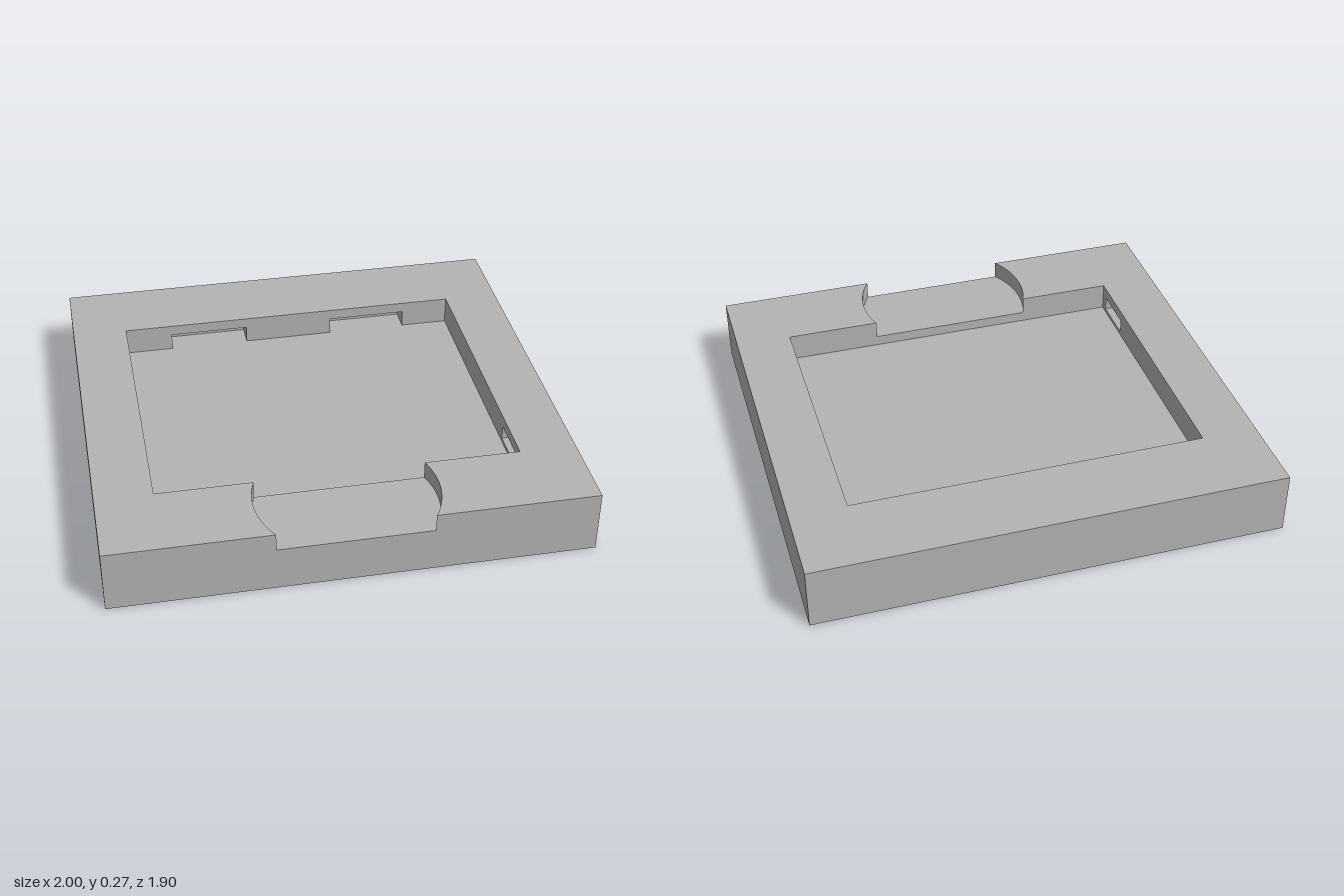
import * as THREE from 'three';

const W = 1, D = 0.95, TOP = 0.272;              // half width, half depth, height
const PX = 0.76, PZ = 0.61, FLOOR = 0.15;        // pocket half sizes and floor level
const R = 0.38, RZ = 0.745, NOTCH = 0.195;       // round thumb notch
const SLOT_TOP = 0.225, SIDE_FLOOR = 0.165;      // wall slots
const BACK = { a: 0.2, b: 0.55, depth: 0.1 };
const SIDE = { a: 0.37, b: 0.57, depth: 0.045 };

const notchX = (z) => Math.sqrt(R * R - (z - RZ) ** 2);
const rect = (u0, v0, u1, v1) => [[u0, v0], [u1, v0], [u1, v1], [u0, v1]];

// One side of the notch outline, from the outer edge to the pocket
function notchArc(side, steps = 24) {
  return Array.from({ length: steps + 1 }, (_, i) => {
    const z = D + (PZ - D) * i / steps;
    return [side * notchX(z), z];
  });
}

// Flat face across an axis; points are (z,y), (x,z) or (x,y) for x, y, z
function face(axis, at, dir, points, holes = []) {
  const toV = (list) => list.map(([u, v]) => new THREE.Vector2(u, v));
  const shape = new THREE.Shape(toV(points));
  holes.forEach((h) => shape.holes.push(new THREE.Path(toV(h))));
  const geo = new THREE.ShapeGeometry(shape);
  const p = geo.attributes.position;
  for (let i = 0; i < p.count; i++) {
    const u = p.getX(i), v = p.getY(i);
    if (axis === 'x') p.setXYZ(i, at, v, u);
    else if (axis === 'y') p.setXYZ(i, u, at, v);
    else p.setXYZ(i, u, v, at);
  }
  if (dir !== (axis === 'z' ? 1 : -1)) geo.index.array.reverse();
  geo.computeVertexNormals();
  return geo;
}

// Curved wall of the notch
function notchWall(side) {
  const geo = new THREE.PlaneGeometry(1, 1, 24, 1);
  const p = geo.attributes.position;
  for (let i = 0; i < p.count; i++) {
    const t = p.getX(i) + 0.5;
    const z = side < 0 ? D + (PZ - D) * t : PZ + (D - PZ) * t;
    p.setXYZ(i, side * notchX(z), p.getY(i) > 0 ? TOP : NOTCH, z);
  }
  geo.computeVertexNormals();
  return geo;
}

export function createModel() {
  const model = new THREE.Group();
  model.name = 'tray';
  const grey = new THREE.MeshStandardMaterial({ color: 0xb4b4b4, side: THREE.DoubleSide });
  grey.name = 'grey';
  const add = (name, geo) => {
    const mesh = new THREE.Mesh(geo, grey);
    mesh.name = name;
    model.add(mesh);
  };
  const left = notchArc(-1), right = notchArc(1).reverse();
  const outerX = left[0][0], innerX = left[left.length - 1][0];

  // Outside of the block
  add('underside', face('y', 0, -1, rect(-W, -D, W, D)));
  add('backFace', face('z', -D, -1, rect(-W, 0, W, TOP)));
  add('frontFace', face('z', D, 1, [[-W, 0], [W, 0], [W, TOP], [-outerX, TOP],
    [-outerX, NOTCH], [outerX, NOTCH], [outerX, TOP], [-W, TOP]]));
  add('topRim', face('y', TOP, 1, [[W, D], [W, -D], [-W, -D], [-W, D], ...left,
    [-PX, PZ], [-PX, -PZ], [PX, -PZ], [PX, PZ], ...right]));

  // Thumb notch
  add('notchFloor', face('y', NOTCH, 1, [...left, ...right]));

  // Pocket floor, front wall and slotted back wall
  const { a, b, depth } = BACK;
  add('pocketFloor', face('y', FLOOR, 1, rect(-PX, -PZ, PX, PZ)));
  add('pocketFrontWall', face('z', PZ, -1, [[-PX, FLOOR], [PX, FLOOR], [PX, TOP], [-innerX, TOP],
    [-innerX, NOTCH], [innerX, NOTCH], [innerX, TOP], [-PX, TOP]]));
  add('pocketBackWall', face('z', -PZ, 1, [[-PX, FLOOR], [-b, FLOOR], [-b, SLOT_TOP], [-a, SLOT_TOP],
    [-a, FLOOR], [a, FLOOR], [a, SLOT_TOP], [b, SLOT_TOP], [b, FLOOR], [PX, FLOOR], [PX, TOP], [-PX, TOP]]));

  for (const s of [-1, 1]) {
    add('outerSide', face('x', s * W, s, rect(-D, 0, D, TOP)));
    add('notchWall', notchWall(s));

    // Slot in the back wall
    const z0 = -PZ - depth;
    const plan = rect(s * a, z0, s * b, -PZ);
    add('backSlotFloor', face('y', FLOOR, 1, plan));
    add('backSlotCeiling', face('y', SLOT_TOP, -1, plan));
    add('backSlotEnd', face('z', z0, 1, rect(s * a, FLOOR, s * b, SLOT_TOP)));
    add('backSlotInnerCheek', face('x', s * a, s, rect(z0, FLOOR, -PZ, SLOT_TOP)));
    add('backSlotOuterCheek', face('x', s * b, -s, rect(z0, FLOOR, -PZ, SLOT_TOP)));

    // Side wall and its small slot
    const x0 = s * PX, x1 = s * (PX + SIDE.depth);
    const opening = rect(SIDE.a, SIDE_FLOOR, SIDE.b, SLOT_TOP);
    const cheek = rect(x0, SIDE_FLOOR, x1, SLOT_TOP);
    add('pocketSideWall', face('x', x0, -s, rect(-PZ, FLOOR, PZ, TOP), [opening]));
    add('sideSlotEnd', face('x', x1, -s, opening));
    add('sideSlotFloor', face('y', SIDE_FLOOR, 1, rect(x0, SIDE.a, x1, SIDE.b)));
    add('sideSlotCeiling', face('y', SLOT_TOP, -1, rect(x0, SIDE.a, x1, SIDE.b)));
    add('sideSlotBackCheek', face('z', SIDE.a, 1, cheek));
    add('sideSlotFrontCheek', face('z', SIDE.b, -1, cheek));
  }
  return model;
}
